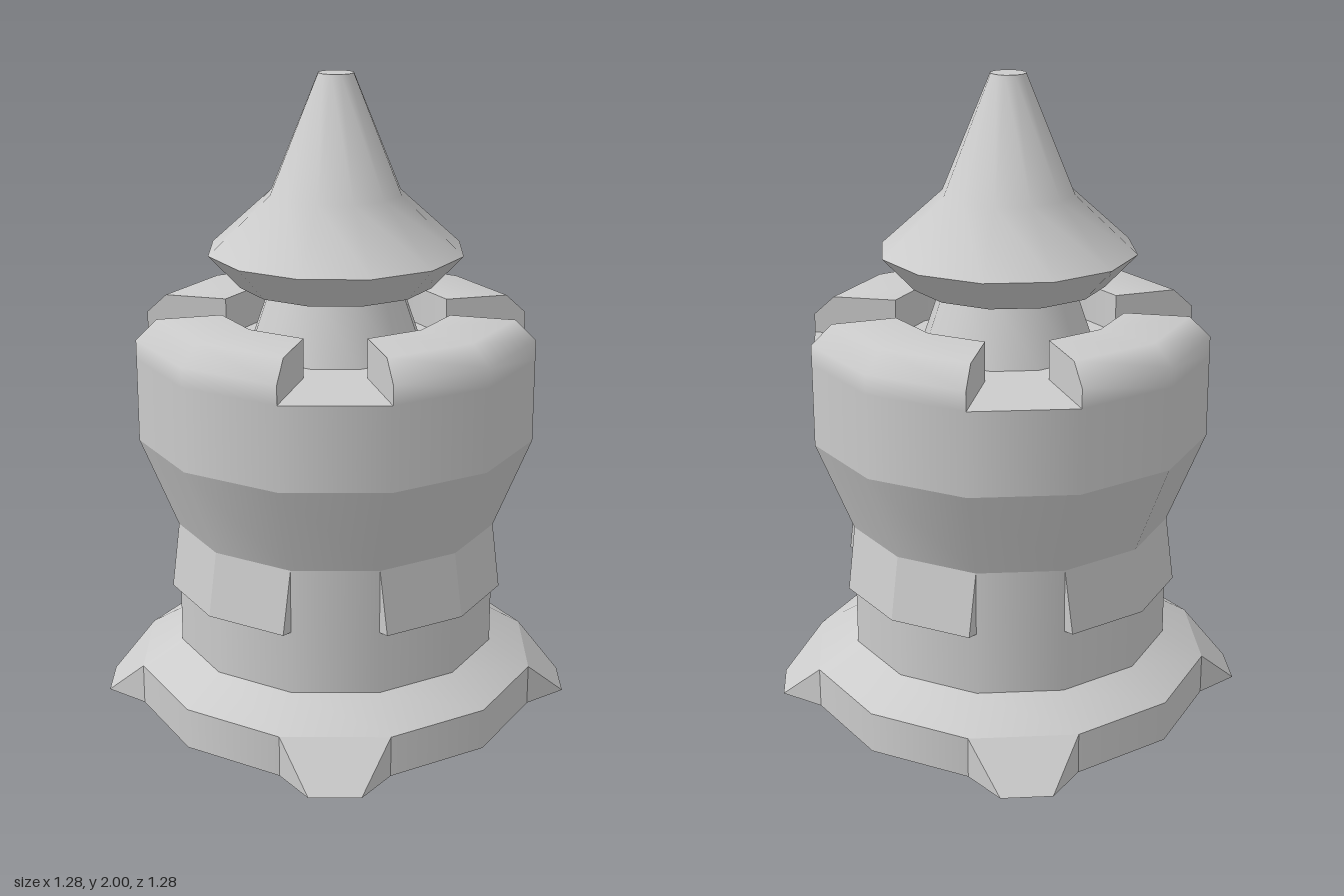
import * as THREE from 'three';

const SIDES = 12;
const STEP = (Math.PI * 2) / SIDES;
const material = new THREE.MeshStandardMaterial({ color: 0xcccccc });
const thin = new THREE.MeshStandardMaterial({ color: 0xcccccc, side: THREE.DoubleSide });

function add(parent, name, geometry, mat = material) {
  const mesh = new THREE.Mesh(geometry, mat);
  mesh.name = name;
  parent.add(mesh);
  return mesh;
}

// Twelve-sided ring of [radius, height] points, smooth along the profile
function band(parent, name, profile, start = 0, segments = SIDES) {
  const points = profile.map(([r, y]) => new THREE.Vector2(r, y));
  return add(parent, name, new THREE.LatheGeometry(points, segments, start, segments * STEP));
}

// Flat-faced solid from corners and convex faces
function facets(corners, faces) {
  const out = [];
  for (const f of faces)
    for (let i = 1; i < f.length - 1; i++) out.push(...corners[f[0]], ...corners[f[i]], ...corners[f[i + 1]]);
  const geometry = new THREE.BufferGeometry();
  geometry.setAttribute('position', new THREE.Float32BufferAttribute(out, 3));
  geometry.computeVertexNormals();
  return geometry;
}

// Corner foot: a wedge running out from the base to the ground
function footGeometry() {
  const h = 0.64 * Math.sin(STEP / 2), d = 0.64 * Math.cos(STEP / 2);
  const tipH = 0.078, tipD = 0.742;
  return facets(
    [[-h, 0.13, d], [h, 0.13, d], [-h, 0, d], [h, 0, d], [-tipH, 0, tipD], [tipH, 0, tipD]],
    [[4, 5, 1, 0], [0, 2, 4], [1, 5, 3], [2, 3, 5, 4]]
  );
}

// Skirt panel: two faces wide, leaning outward toward its lower edge
function panelGeometry() {
  const r = 0.51, x = r * Math.sin(STEP), z = r * Math.cos(STEP), lean = 0.032;
  const row = (y, dz) => [[-x, y, z + dz], [0, y, r + dz], [x, y, z + dz]];
  return facets(
    [...row(0.61, 0), ...row(0.41, lean), ...row(0.41, 0)],
    [[3, 4, 1, 0], [4, 5, 2, 1], [6, 7, 4, 3], [7, 8, 5, 4], [0, 6, 3], [2, 5, 8]]
  );
}

// Battlement block with a rounded outer rim and flat ends
function merlon() {
  const group = new THREE.Group();
  group.name = 'merlon';
  const outline = [[0.625, 1.16], [0.625, 1.22], [0.56, 1.28], [0.36, 1.28]];
  band(group, 'merlonRim', outline, -STEP, 2);
  band(group, 'merlonInnerWall', [[0.36, 1.28], [0.36, 1.16]], -STEP, 2);
  const section = new THREE.Shape([...outline, [0.36, 1.16]].map(([x, y]) => new THREE.Vector2(x, y)));
  for (const side of [-1, 1])
    add(group, 'merlonEnd', new THREE.ShapeGeometry(section), thin).rotation.y = side * STEP - Math.PI / 2;
  return group;
}

// Horizontal disc with a corner on each axis
function disc(parent, name, radius, y, up) {
  const mesh = add(parent, name, new THREE.CircleGeometry(radius, SIDES));
  mesh.rotation.x = up ? -Math.PI / 2 : Math.PI / 2;
  mesh.position.y = y;
}

export function createModel() {
  const tower = new THREE.Group();
  tower.name = 'tower';

  // Base and shaft
  disc(tower, 'baseUnderside', 0.64, 0, false);
  band(tower, 'baseWall', [[0.64, 0], [0.64, 0.13]]);
  band(tower, 'baseSlope', [[0.64, 0.13], [0.51, 0.21]]);
  band(tower, 'shaft', [[0.51, 0.21], [0.51, 0.61]]);

  // Flared head with a sunken floor
  band(tower, 'headFlare', [[0.51, 0.61], [0.625, 0.9]]);
  band(tower, 'headWall', [[0.625, 0.9], [0.625, 1.16]]);
  disc(tower, 'headFloor', 0.625, 1.16, true);

  // Neck and pointed roof
  band(tower, 'neck', [[0.275, 1.16], [0.205, 1.36]]);
  disc(tower, 'roofUnderside', 0.3, 1.36, false);
  band(tower, 'roofEave', [[0.3, 1.36], [0.398, 1.465]]);
  band(tower, 'roofSpire', [[0.398, 1.465], [0.205, 1.64], [0.055, 2]]);
  disc(tower, 'spireTip', 0.055, 2, true);

  // Parts repeated on each quarter
  for (let i = 0; i < 4; i++) {
    const turn = (i * Math.PI) / 2;
    add(tower, 'cornerFoot', footGeometry()).rotation.y = turn + Math.PI / 4;
    add(tower, 'skirtPanel', panelGeometry()).rotation.y = turn;
    const block = merlon();
    block.rotation.y = turn;
    tower.add(block);
  }
  return tower;
}
